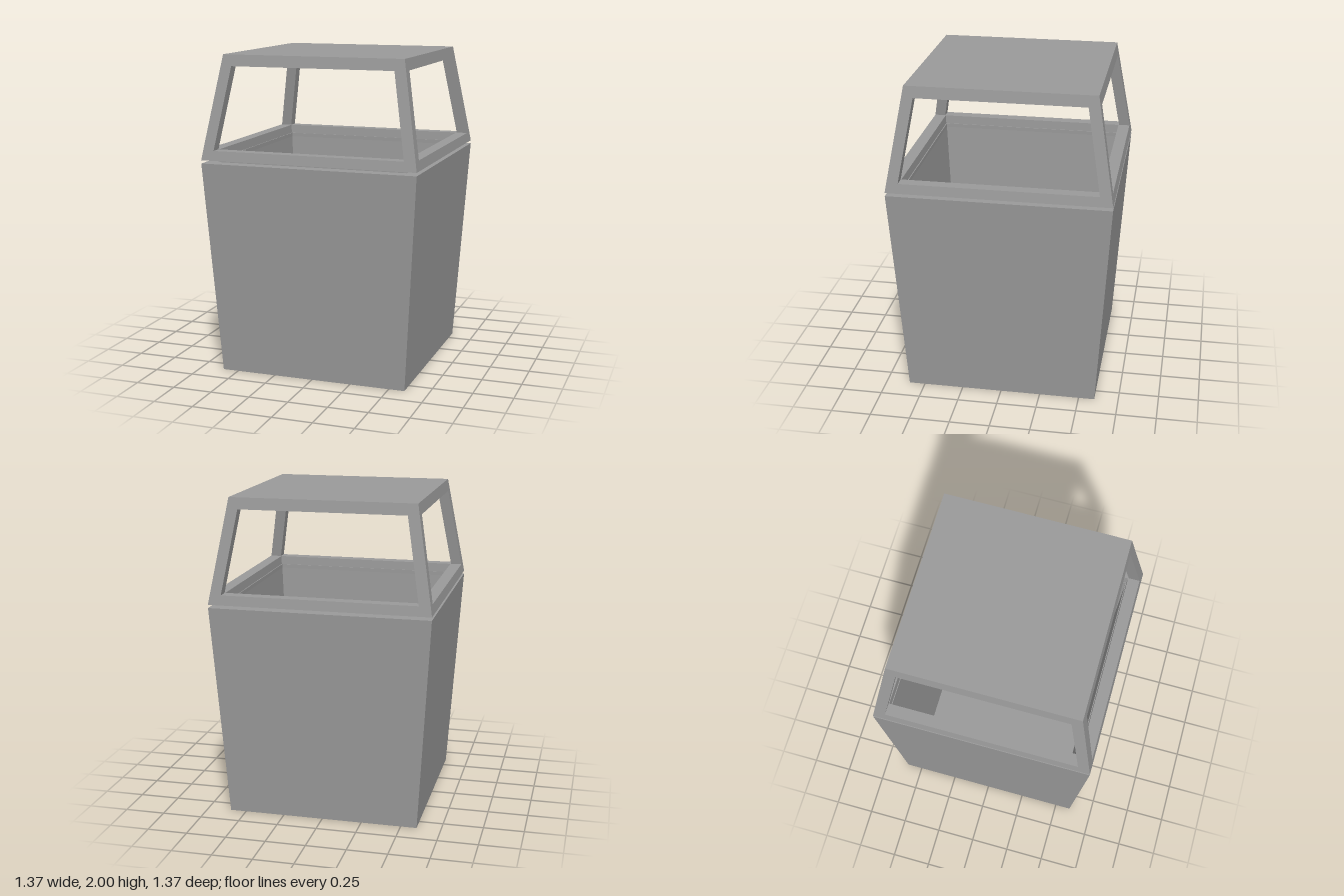
import * as THREE from 'three';

const material = new THREE.MeshStandardMaterial({ color: 0x999999, flatShading: true });

// Sweep a [half width, height] profile around a square plan
function squareSweep(name, profile) {
  const points = profile.map(([half, y]) => new THREE.Vector2(half * Math.SQRT2, y));
  const mesh = new THREE.Mesh(new THREE.LatheGeometry(points, 4, Math.PI / 4), material);
  mesh.name = name;
  return mesh;
}

// Corner post leaning inward from the sill to the roof
function cornerPost(sx, sz) {
  const y0 = 1.42, y1 = 1.93, width = 0.07;
  const geometry = new THREE.BoxGeometry(width, 1, width);
  const p = geometry.attributes.position;
  for (let i = 0; i < p.count; i++) {
    const top = p.getY(i) > 0;
    const centre = top ? 0.55 : 0.638;
    p.setXYZ(i, sx * centre + p.getX(i), top ? y1 : y0, sz * centre + p.getZ(i));
  }
  geometry.computeVertexNormals();
  const mesh = new THREE.Mesh(geometry, material);
  mesh.name = 'cornerPost';
  return mesh;
}

export function createModel() {
  const model = new THREE.Group();
  model.name = 'litterBin';

  // Hollow tapered container with a floor
  model.add(squareSweep('container', [
    [0, 0], [0.6, 0], [0.683, 1.34], [0.59, 1.34], [0.52, 0.07], [0, 0.07],
  ]));

  // Recessed collar between container and lid
  model.add(squareSweep('collar', [
    [0.6, 1.335], [0.6, 1.365], [0.59, 1.365], [0.59, 1.335], [0.6, 1.335],
  ]));

  // Lid: sill, four posts and a roof with a shallow recess underneath
  const lid = new THREE.Group();
  lid.name = 'lid';
  lid.add(squareSweep('sill', [
    [0.683, 1.36], [0.673, 1.42], [0.599, 1.42], [0.595, 1.36], [0.683, 1.36],
  ]));
  for (const sx of [-1, 1]) for (const sz of [-1, 1]) lid.add(cornerPost(sx, sz));
  lid.add(squareSweep('roof', [
    [0, 1.96], [0.51, 1.96], [0.515, 1.93], [0.585, 1.93], [0.573, 2], [0, 2],
  ]));
  model.add(lid);

  return model;
}
